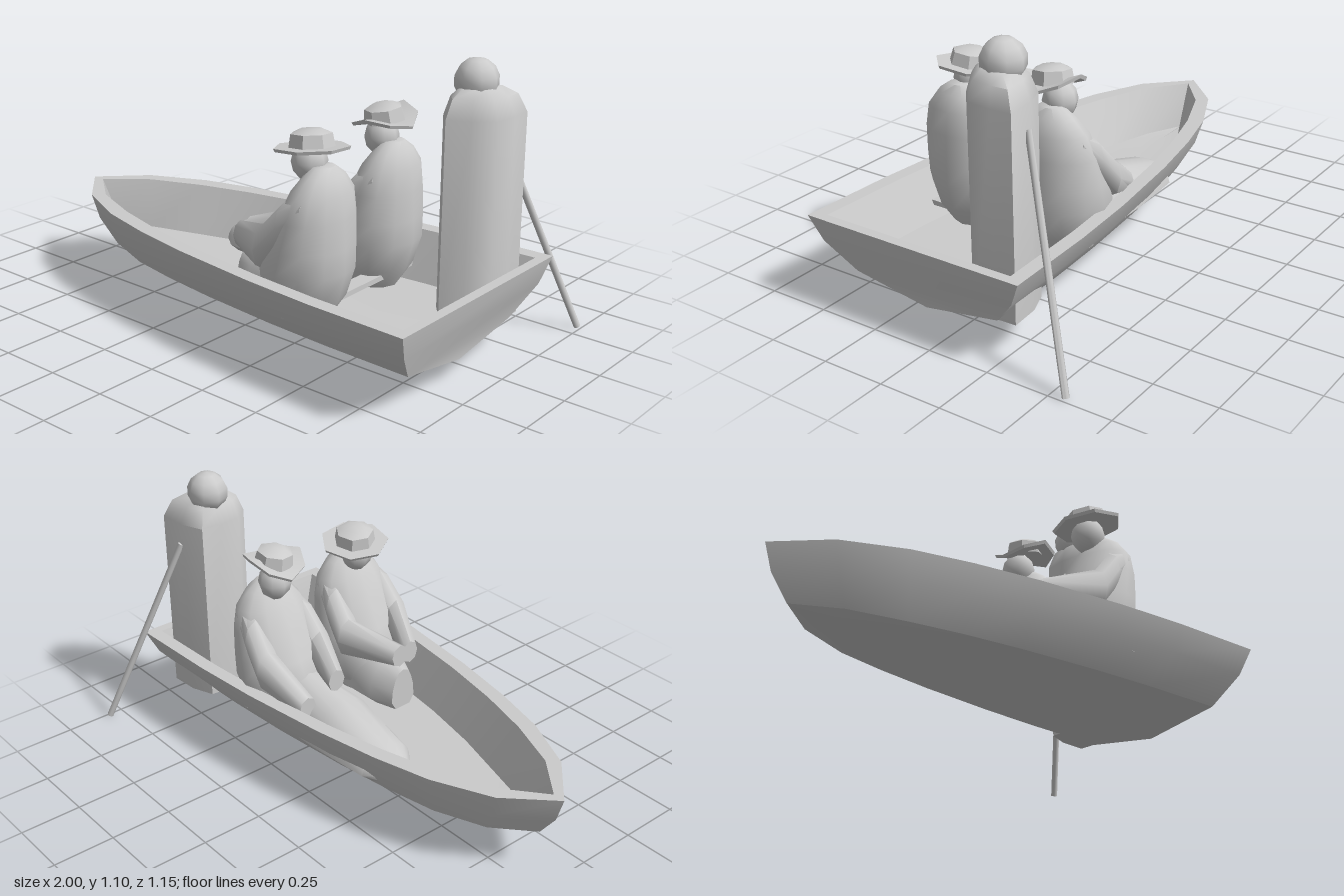
import * as THREE from 'three';
import { toCreasedNormals } from 'three/addons/utils/BufferGeometryUtils.js';

const V = (x, y, z) => new THREE.Vector3(x, y, z);
const material = new THREE.MeshStandardMaterial({ color: 0xcccccc });

function part(name, geometry, crease = 0.6) {
  const mesh = new THREE.Mesh(toCreasedNormals(geometry, crease), material);
  mesh.name = name;
  return mesh;
}

// Skin a stack of closed rings, optionally closing both ends with fans.
function loft(rings, caps = true) {
  const pos = [];
  const tri = (a, b, c) => {
    const area = b.clone().sub(a).cross(c.clone().sub(a)).length();
    if (area > 1e-9) for (const p of [a, b, c]) pos.push(p.x, p.y, p.z);
  };
  const n = rings[0].length;
  for (let i = 0; i < rings.length - 1; i++) {
    for (let j = 0; j < n; j++) {
      const k = (j + 1) % n, lo = rings[i], up = rings[i + 1];
      tri(lo[j], up[j], lo[k]);
      tri(up[j], up[k], lo[k]);
    }
  }
  if (caps) {
    const middle = r => r.reduce((s, p) => s.add(p), V(0, 0, 0)).divideScalar(n);
    const first = rings[0], last = rings[rings.length - 1];
    const c0 = middle(first), c1 = middle(last);
    for (let j = 0; j < n; j++) {
      const k = (j + 1) % n;
      tri(c0, first[j], first[k]);
      tri(c1, last[k], last[j]);
    }
  }
  const g = new THREE.BufferGeometry();
  g.setAttribute('position', new THREE.Float32BufferAttribute(pos, 3));
  return g;
}

// Horizontal oval rings given as [y, centre x, radius x, radius z].
const ovals = (rows, cz, sides) => rows.map(([y, cx, rx, rz]) =>
  Array.from({ length: sides }, (_, i) => {
    const a = (i / sides) * Math.PI * 2;
    return V(cx + rx * Math.cos(a), y, cz + rz * Math.sin(a));
  }));

// Upright oval rings along x given as [x, centre y, centre z, half height, half width].
const uprightOvals = (rows, sides) => rows.map(([x, cy, cz, h, w]) =>
  Array.from({ length: sides }, (_, i) => {
    const a = (i / sides) * Math.PI * 2;
    return V(x, cy + h * Math.sin(a), cz + w * Math.cos(a));
  }));

function hull() {
  const mid = 0.104;
  // Stations from bow to stern: [fraction of length, half width at the rim]
  const stations = [[0, 0], [0.086, 0.17], [0.203, 0.275], [0.32, 0.335],
    [0.457, 0.385], [0.645, 0.432], [0.797, 0.455], [1, 0.468]];
  const loop = (x0, x1, y, width) => {
    const side = s => stations.map(([t, w], i) =>
      V(x0 + (x1 - x0) * t, Array.isArray(y) ? y[Math.min(i, y.length - 1)] : y, mid + s * width(w)));
    return [...side(1).reverse(), ...side(-1).slice(1)];
  };
  const inset = d => w => Math.max(0, w - d * Math.min(1, w * 4));
  return part('hull', loft([
    loop(-0.9, 0.885, [0.155, 0.118, 0.088, 0.08], () => 0), // keel
    loop(-0.9, 0.89, [0.155, 0.142, 0.133], w => w * 0.68),  // chine
    loop(-0.97, 0.945, 0.25, w => w * 0.9),                  // topside
    loop(-1, 0.97, 0.35, w => w),                            // outer rim
    loop(-0.95, 0.93, 0.35, inset(0.058)),                   // inner rim
    loop(-0.88, 0.88, 0.165, inset(0.14)),                   // floor edge
    loop(-0.88, 0.88, 0.16, () => 0),                        // floor centre
  ], false), 0.5);
}

// Brimmed hat; bend lifts the brim at the sides and drops it fore and aft.
function hat(brimRadius, crownRadius, bend, sides) {
  const g = new THREE.Group();
  g.name = 'hat';
  const brim = new THREE.CylinderGeometry(brimRadius, brimRadius * 0.96, 0.012, sides, 2);
  const p = brim.attributes.position;
  for (let i = 0; i < p.count; i++) {
    const x = p.getX(i), z = p.getZ(i);
    p.setY(i, p.getY(i) + bend * (z * z - 0.5 * x * x));
  }
  const crown = new THREE.CylinderGeometry(crownRadius * 0.9, crownRadius, 0.05, 7).translate(0, 0.028, 0);
  const top = new THREE.CylinderGeometry(crownRadius * 0.5, crownRadius * 0.9, 0.015, 7).translate(0, 0.06, 0);
  g.add(part('hatBrim', brim), part('hatCrown', crown), part('hatTop', top));
  return g;
}

// Skirt over the legs, from stations [x, top y, half width, centre z], tucked in at the floor.
function skirt(stations) {
  return part('skirt', loft(stations.map(([x, top, w, cz]) => {
    const arch = Array.from({ length: 9 }, (_, i) => {
      const a = (i / 8) * Math.PI;
      return V(x, 0.2 + (top - 0.2) * Math.sin(a), cz + w * Math.cos(a));
    });
    return [...arch, V(x, 0.16, cz - w * 0.6), V(x, 0.16, cz + w * 0.6)];
  })), 0.9);
}

// Seated passenger facing the bow; hands are [x, y, offset z] for the right and left sleeve.
function passenger(name, cz, headX, hands) {
  const g = new THREE.Group();
  g.name = name;
  g.add(part('cloak', loft(ovals([
    [0.17, 0.31, 0.13, 0.1], [0.25, 0.33, 0.16, 0.15], [0.36, 0.345, 0.175, 0.18],
    [0.45, 0.365, 0.155, 0.177], [0.56, 0.392, 0.123, 0.167], [0.65, 0.41, 0.094, 0.145],
    [0.71, 0.42, 0.062, 0.095], [0.745, 0.42, 0.035, 0.045],
  ], cz, 12)), 0.9));
  const head = new THREE.SphereGeometry(0.071, 8, 6).scale(0.93, 1.05, 0.95);
  g.add(part('head', head.translate(headX, 0.75, cz), 1));
  // Wide hanging sleeves from cuff through elbow to shoulder
  hands.forEach(([hx, hy, hz], i) => {
    const s = i ? 1 : -1;
    g.add(part('sleeve', loft(uprightOvals([
      [hx, hy, cz + hz, 0.048, 0.04],
      [0.25, 0.44, cz + s * 0.13, 0.085, 0.058],
      [0.34, 0.54, cz + s * 0.12, 0.085, 0.055],
      [0.43, 0.62, cz + s * 0.1, 0.05, 0.045],
    ], 8)), 0.9));
  });
  return g;
}

export function createModel() {
  const model = new THREE.Group();
  model.name = 'rowingBoat';
  model.add(hull());

  // Bench plank across the boat
  model.add(part('bench', new THREE.BoxGeometry(0.065, 0.02, 0.74).translate(0.408, 0.225, 0.104)));

  // Passenger with a tilted round hat
  const first = passenger('firstPassenger', 0.295, 0.355, [[0.04, 0.41, -0.035], [0.04, 0.41, 0.02]]);
  const roundHat = hat(0.14, 0.085, 0, 7);
  roundHat.position.set(0.36, 0.797, 0.29);
  roundHat.rotation.set(-0.12, 0.3, 0.12);
  first.add(roundHat, skirt([[0.04, 0.34, 0.06, 0.28], [0.13, 0.36, 0.11, 0.285], [0.3, 0.4, 0.12, 0.29]]));
  model.add(first);

  // Passenger with a bent brim and a long skirt
  const second = passenger('secondPassenger', -0.115, 0.365, [[0.06, 0.34, -0.085], [0.06, 0.41, 0.06]]);
  const bentHat = hat(0.125, 0.08, 2.4, 8);
  bentHat.position.set(0.39, 0.815, -0.1);
  bentHat.rotation.set(0.1, 0, 0.12);
  second.add(bentHat, skirt([[-0.33, 0.25, 0.065, -0.08], [-0.27, 0.28, 0.12, -0.085],
    [0, 0.36, 0.15, -0.075], [0.32, 0.42, 0.125, -0.1]]));
  model.add(second);

  // Standing boatman: an uneven robe outline drawn in towards the neck
  const boatman = new THREE.Group();
  boatman.name = 'boatman';
  const outline = [[0.88, -0.2], [0.87, -0.1], [0.8, -0.04], [0.72, 0], [0.67, -0.06],
    [0.66, -0.15], [0.668, -0.24], [0.76, -0.275], [0.877, -0.283]];
  const robe = [[0.13, 1], [0.9, 1], [0.97, 0.8], [1.0, 0.5]].map(([y, s]) =>
    outline.map(([x, z]) => V(0.758 + (x - 0.758) * s, y, -0.135 + (z + 0.135) * s)));
  const poleCurve = new THREE.LineCurve3(V(0.985, 0.004, -0.562), V(0.775, 0.81, -0.275));
  boatman.add(
    part('robe', loft(robe), 1.1),
    part('head', new THREE.SphereGeometry(0.083, 8, 7).translate(0.742, 1.017, -0.155), 1),
    part('pole', new THREE.TubeGeometry(poleCurve, 1, 0.013, 8), 1),
  );
  // Flat ends of the pole
  for (const [t, turn] of [[0, -1], [1, 1]]) {
    const cap = new THREE.CircleGeometry(0.013, 8);
    const facing = poleCurve.getTangent(t).multiplyScalar(turn);
    cap.applyQuaternion(new THREE.Quaternion().setFromUnitVectors(V(0, 0, 1), facing));
    boatman.add(part('poleEnd', cap.translate(...poleCurve.getPoint(t).toArray())));
  }
  model.add(boatman);
  return model;
}
